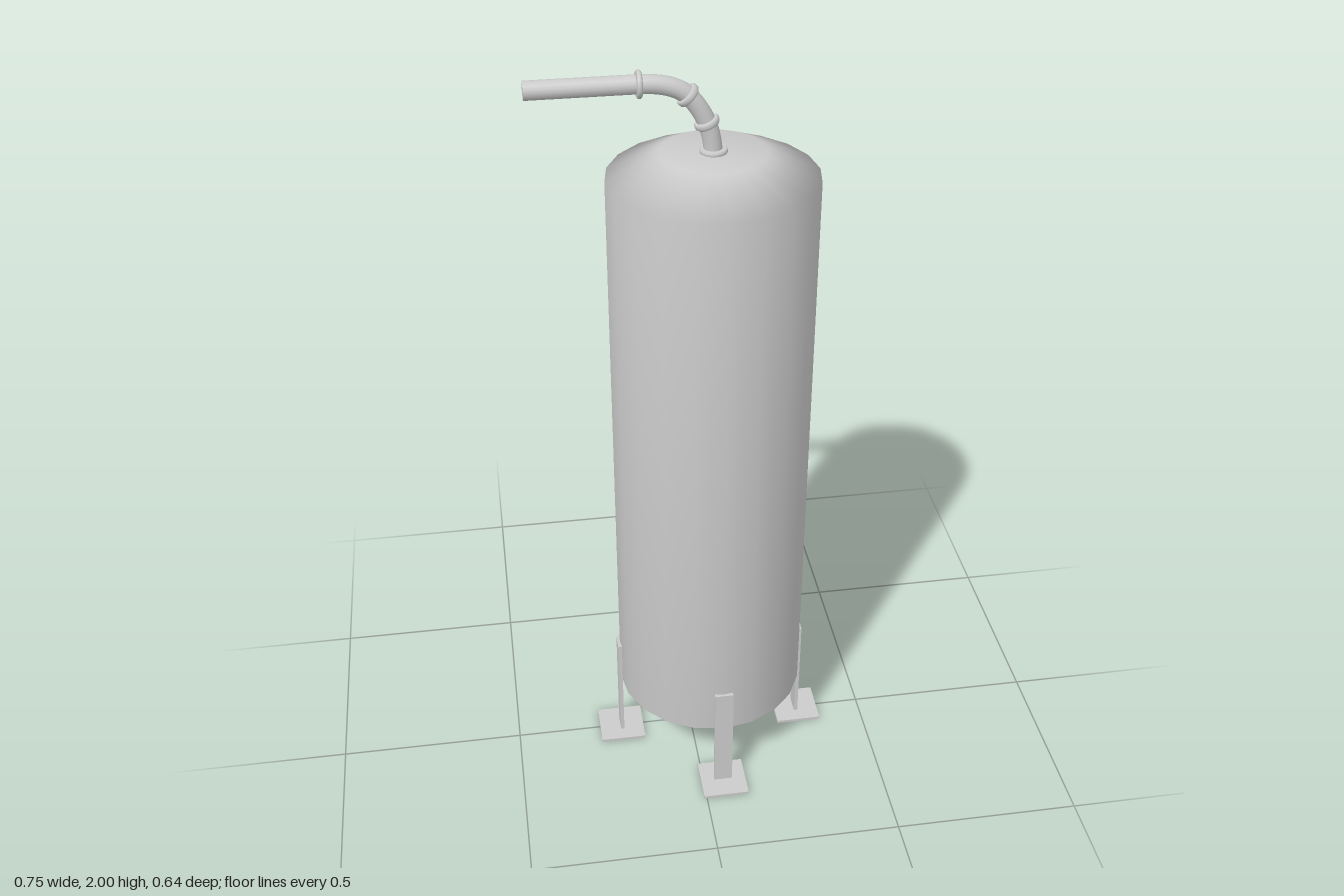
import * as THREE from 'three';

const CX = 0.055; // tank axis
const PIPE_R = 0.022;

export function createModel() {
  const model = new THREE.Group();
  const mat = new THREE.MeshStandardMaterial({ color: 0xcccccc });
  const v2 = (x, y) => new THREE.Vector2(x, y);
  const v3 = (x, y) => new THREE.Vector3(x, y, 0);
  const add = (name, geo, parent = model) => {
    const mesh = new THREE.Mesh(geo, mat);
    mesh.name = name;
    parent.add(mesh);
    return mesh;
  };

  // Tank shell with chamfered, flat-ended heads
  const profile = [[0, 0.14], [0.127, 0.14], [0.255, 0.198], [0.255, 1.735], [0.127, 1.795], [0, 1.795]];
  add('tank', new THREE.LatheGeometry(profile.map(([r, y]) => v2(r, y)), 20)).position.x = CX;

  // Four legs with square foot plates
  for (let i = 0; i < 4; i++) {
    const leg = new THREE.Group();
    leg.name = 'leg' + (i + 1);
    leg.position.x = CX;
    leg.rotation.y = i * Math.PI / 2;
    add('legPost', new THREE.BoxGeometry(0.05, 0.317, 0.01), leg).position.set(0, 0.1665, 0.257);
    add('footPlate', new THREE.BoxGeometry(0.125, 0.008, 0.125), leg).position.set(0, 0.004, 0.258);
    model.add(leg);
  }

  // Rounded collar centred on a point and facing along a direction
  const collar = (name, x, y, dx, dy, r = 0.032, h = 0.013) => {
    const pts = [[0, -h / 2], [r * 0.9, -h / 2], [r, -h / 4], [r, h / 4], [r * 0.9, h / 2], [0, h / 2]];
    const mesh = add(name, new THREE.LatheGeometry(pts.map(p => v2(...p)), 20));
    mesh.position.set(x, y, 0);
    mesh.quaternion.setFromUnitVectors(v3(0, 1), v3(dx, dy).normalize());
  };

  // Outlet pipe rising from the top in two bends
  const bends = new THREE.CurvePath();
  bends.add(new THREE.QuadraticBezierCurve3(v3(CX, 1.785), v3(0.052, 1.835), v3(0.039, 1.868)));
  bends.add(new THREE.QuadraticBezierCurve3(v3(0.039, 1.868), v3(0.022, 1.908), v3(-0.005, 1.936)));
  bends.add(new THREE.QuadraticBezierCurve3(v3(-0.005, 1.936), v3(-0.04, 1.968), v3(-0.116, 1.968)));
  add('outletBend', new THREE.TubeGeometry(bends, 32, PIPE_R, 16));
  const straight = add('outletPipe', new THREE.CylinderGeometry(PIPE_R, PIPE_R, 0.259, 16));
  straight.rotation.z = Math.PI / 2;
  straight.position.set(-0.2455, 1.968, 0);
  collar('outletBaseCollar', CX, 1.798, 0, 1, 0.033);
  collar('outletLowerCollar', 0.039, 1.868, -0.4, 1, 0.03, 0.016);
  collar('outletUpperCollar', -0.005, 1.936, -1, 0.96, 0.03, 0.016);
  collar('outletFlange', -0.116, 1.968, -1, 0);

  // Drain pipe under the tank, flaring into a flange
  const drain = [[0, 0], [0.031, 0], [0.033, 0.004], [0.033, 0.012], [0.03, 0.018], [0.023, 0.03], [PIPE_R, 0.036], [PIPE_R, 0.145]];
  add('drainPipe', new THREE.LatheGeometry(drain.map(([r, y]) => v2(r, y)), 20)).position.x = CX;

  return model;
}
